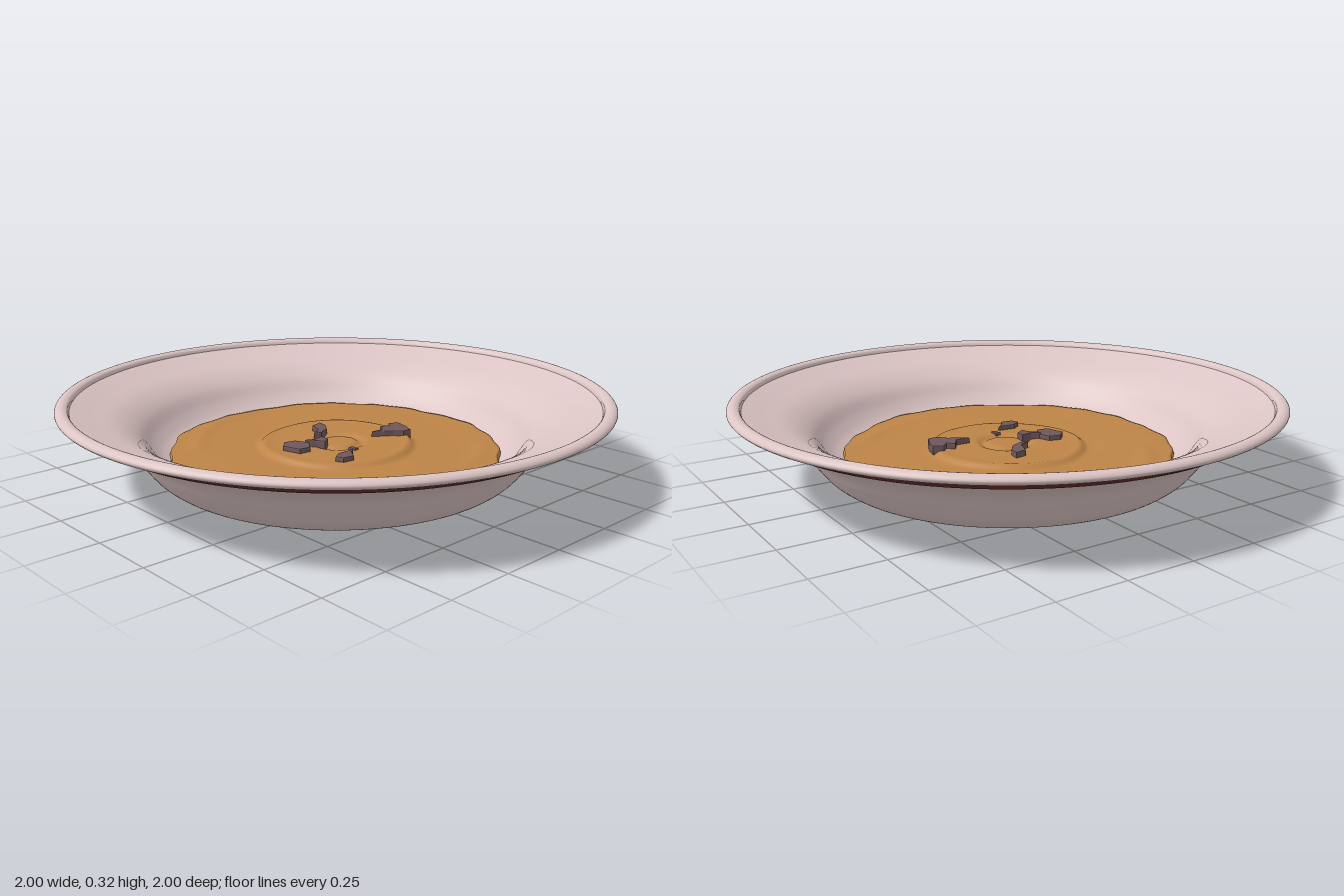
import * as THREE from 'three';
import { mergeVertices } from 'three/addons/utils/BufferGeometryUtils.js';

const paint = (name, color) => Object.assign(new THREE.MeshStandardMaterial({ color }), { name });

// Smooth surface of revolution through a few profile points
function turned(name, points, material, steps) {
  const curve = new THREE.SplineCurve(points.map(([r, y]) => new THREE.Vector2(r, y)));
  const profile = curve.getPoints(steps);
  profile.forEach((p) => { p.x = Math.max(0, p.x); p.y = Math.max(0, p.y); });
  const mesh = new THREE.Mesh(new THREE.LatheGeometry(profile, 128), material);
  mesh.name = name;
  return mesh;
}

const step = (a, b, x) => THREE.MathUtils.smoothstep(x, a, b);
const bump = (x, width) => Math.exp(-((x / width) ** 2));

// Height of the filling: soft waves, a raised middle disc and a small swirl
function fillingHeight(x, z) {
  const r = Math.hypot(x - 0.01, z + 0.01), a = Math.atan2(z, x);
  const waves = 0.002 * Math.sin(9 * x + 4 * z) + 0.002 * Math.sin(13 * z - 5 * x + 1);
  const disc = 0.014 * (1 - step(0.27, 0.295, r)) + 0.003 * bump(r - 0.27, 0.02);
  const swirl = -0.012 * bump(r - 0.085 - 0.012 * Math.sin(a), 0.014);
  const folds = 0.005 * bump(r - 0.53 - 0.02 * Math.sin(3 * a), 0.03) * step(0.2, 0.9, Math.sin(a * 2 - 0.8));
  return 0.103 + waves + disc + swirl + folds;
}

function makeFilling(material) {
  const geo = new THREE.RingGeometry(0, 1, 160, 64).rotateX(-Math.PI / 2);
  geo.deleteAttribute('normal');
  geo.deleteAttribute('uv');
  const smooth = mergeVertices(geo, 1e-5);
  const pos = smooth.attributes.position;
  for (let i = 0; i < pos.count; i++) {
    const x = pos.getX(i), z = pos.getZ(i), t = Math.hypot(x, z), a = Math.atan2(z, x);
    // Ragged outline
    const ragged = 0.004 * Math.sin(5 * a + 1) + 0.004 * Math.sin(11 * a) + 0.004 * Math.sin(23 * a + 2);
    const s = 0.615 + ragged * step(0.6, 1, t);
    const y = fillingHeight(x * s, z * s) - (t > 0.995 ? 0.035 : 0);
    pos.setXYZ(i, x * s, y, z * s);
  }
  smooth.computeVertexNormals();
  const mesh = new THREE.Mesh(smooth, material);
  mesh.name = 'filling';
  return mesh;
}

// Flat irregular scrap lying on the filling; outline is in x, z
function makeScrap(name, outline, height, material) {
  const shape = new THREE.Shape(outline.map(([x, z]) => new THREE.Vector2(x, -z)));
  const geo = new THREE.ExtrudeGeometry(shape, {
    depth: height, bevelEnabled: true, bevelThickness: 0.005, bevelSize: 0.004, bevelSegments: 2,
  }).rotateX(-Math.PI / 2);
  const mesh = new THREE.Mesh(geo, material);
  mesh.position.y = 0.108;
  mesh.name = name;
  return mesh;
}

export function createModel() {
  const group = new THREE.Group();
  group.name = 'filledBowl';
  const ceramic = paint('pale pink ceramic', 0xdcc5c4);
  const red = paint('dark red glaze', 0x6a2c2c);
  const tan = paint('tan filling', 0xbd8447);
  const brown = paint('dark brown scraps', 0x70575a);

  // Bowl: underside, painted band, rolled rim and inside
  group.add(
    turned('foot', [[0, 0], [0.28, 0], [0.56, 0.003]], ceramic, 8),
    turned('underside', [[0.56, 0.003], [0.62, 0.017], [0.675, 0.055], [0.72, 0.11], [0.77, 0.175], [0.84, 0.222], [0.915, 0.25]], ceramic, 36),
    turned('band', [[0.915, 0.25], [0.94, 0.263], [0.968, 0.279]], red, 4),
    turned('rim', [[0.968, 0.279], [0.99, 0.287], [1, 0.299], [0.992, 0.311], [0.975, 0.316], [0.957, 0.31], [0.95, 0.296]], ceramic, 24),
    turned('inside', [[0.95, 0.296], [0.88, 0.272], [0.79, 0.24], [0.72, 0.195], [0.67, 0.135], [0.62, 0.094], [0.55, 0.07], [0.3, 0.06], [0, 0.06]], ceramic, 56),
  );

  group.add(makeFilling(tan));

  // Scraps around the middle
  const scraps = [
    ['leftScrap', 0.022, [[-0.21, -0.05], [-0.18, -0.08], [-0.14, -0.07], [-0.12, -0.02], [-0.15, 0.02], [-0.19, 0.015]]],
    ['centreScrap', 0.03, [[-0.12, -0.03], [-0.09, -0.015], [-0.05, -0.025], [-0.055, 0.01], [-0.08, 0.025], [-0.09, 0.0]]],
    ['backScrap', 0.024, [[-0.02, -0.095], [0.02, -0.115], [0.04, -0.17], [0.08, -0.18], [0.075, -0.145], [0.045, -0.105], [0.0, -0.085]]],
    ['rightScrap', 0.028, [[0.14, 0.055], [0.19, 0.06], [0.215, 0.025], [0.24, 0.045], [0.265, 0.02], [0.295, 0.035], [0.285, 0.08], [0.265, 0.125], [0.23, 0.125], [0.205, 0.095], [0.18, 0.08]]],
    ['frontScrap', 0.02, [[-0.15, 0.165], [-0.12, 0.145], [-0.055, 0.145], [-0.08, 0.165], [-0.1, 0.195], [-0.14, 0.19]]],
    ['crumb', 0.012, [[-0.025, 0.1], [-0.012, 0.1], [-0.012, 0.125], [-0.022, 0.125]]],
  ];
  for (const [name, height, outline] of scraps) group.add(makeScrap(name, outline, height, brown));

  return group;
}
